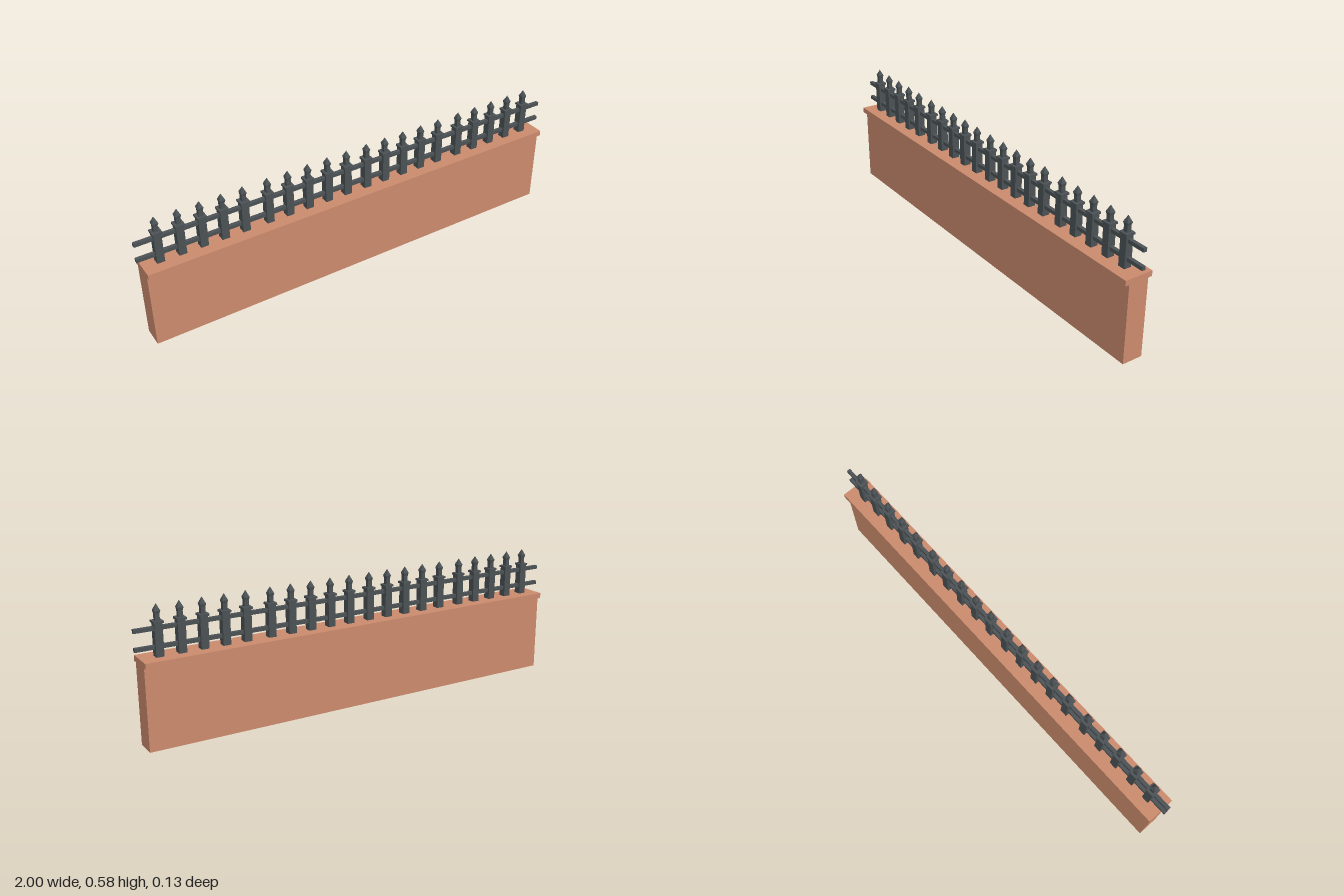
import * as THREE from 'three';

export function createModel() {
  const model = new THREE.Group();
  const brick = new THREE.MeshStandardMaterial({ color: 0xcb8b6d });
  brick.name = 'terracotta wall';
  const iron = new THREE.MeshStandardMaterial({ color: 0x4b5255, flatShading: true });
  iron.name = 'dark iron';

  const add = (parent, name, geometry, material, y) => {
    const mesh = new THREE.Mesh(geometry, material);
    mesh.name = name;
    mesh.position.y = y;
    parent.add(mesh);
    return mesh;
  };
  // Box spanning y0 to y1
  const block = (parent, name, w, d, y0, y1, material) =>
    add(parent, name, new THREE.BoxGeometry(w, y1 - y0, d), material, (y0 + y1) / 2);
  // Square frustum with half-widths r0 (bottom) and r1 (top)
  const taper = (parent, name, r0, r1, y0, y1) => {
    const g = new THREE.CylinderGeometry(r1 * Math.SQRT2, r0 * Math.SQRT2, y1 - y0, 4);
    g.rotateY(Math.PI / 4);
    return add(parent, name, g, iron, (y0 + y1) / 2);
  };

  // Low wall with overhanging coping
  block(model, 'wall', 1.962, 0.091, 0, 0.346, brick);
  block(model, 'coping', 1.962, 0.127, 0.346, 0.37, brick);

  // Two horizontal rails
  for (const y of [0.409, 0.484]) {
    block(model, 'rail', 2, 0.016, y - 0.008, y + 0.008, iron);
  }

  // Four sections of five pickets
  for (const start of [-0.906, -0.424, 0.048, 0.53]) {
    for (let i = 0; i < 5; i++) {
      const picket = new THREE.Group();
      picket.name = 'picket';
      picket.position.x = start + i * 0.0932;
      block(picket, 'post', 0.033, 0.033, 0.37, 0.505, iron);
      block(picket, 'collar', 0.041, 0.041, 0.505, 0.514, iron);
      block(picket, 'neck', 0.019, 0.019, 0.514, 0.541, iron);
      taper(picket, 'spearBase', 0.0095, 0.0125, 0.541, 0.553);
      taper(picket, 'spearTip', 0.0125, 0, 0.553, 0.581);
      model.add(picket);
    }
  }
  return model;
}
